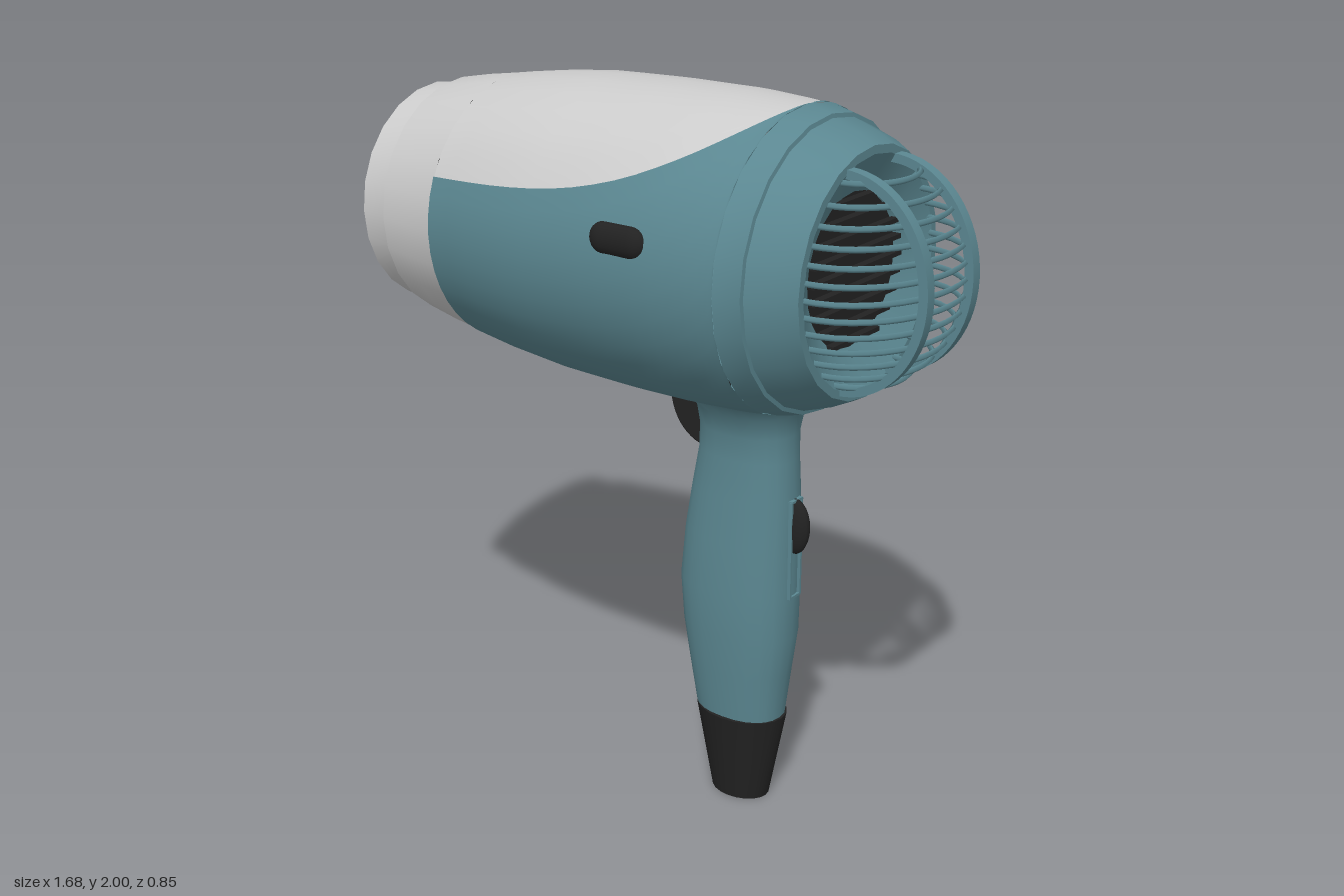
import * as THREE from 'three';
import { mergeVertices, toCreasedNormals } from 'three/addons/utils/BufferGeometryUtils.js';
import { ParametricGeometry } from 'three/addons/geometries/ParametricGeometry.js';

const AXIS = 1.588; // height of the barrel axis
const paint = (color, side = THREE.DoubleSide) => new THREE.MeshStandardMaterial({ color, side });

// Barrel radius along x
const PROFILE = [[-0.54, 0.37], [-0.4, 0.39], [-0.24, 0.405], [0, 0.412], [0.2, 0.412], [0.32, 0.405], [0.41, 0.397]];
function radiusAt(x) {
  let i = 0;
  while (i < PROFILE.length - 2 && x > PROFILE[i + 1][0]) i++;
  const [[x0, r0], [x1, r1]] = [PROFILE[i], PROFILE[i + 1]];
  return r0 + (r1 - r0) * (x - x0) / (x1 - x0);
}

// Smooth surface from a rule f(u, v, target), with shared seam vertices
function surface(f, nu, nv) {
  const g = new ParametricGeometry(f, nu, nv);
  g.deleteAttribute('uv');
  g.deleteAttribute('normal');
  const m = mergeVertices(g, 1e-5);
  m.computeVertexNormals();
  return m;
}

// Surface of revolution around the barrel axis, points as [x, radius]
function turned(points) {
  const g = new THREE.LatheGeometry(points.map(([x, r]) => new THREE.Vector2(r, x)), 24);
  g.rotateZ(-Math.PI / 2).translate(0, AXIS, 0);
  return toCreasedNormals(g, 0.5);
}

export function createModel() {
  const root = new THREE.Group();
  const grey = paint(0xcccccc), teal = paint(0x5b8791), dark = paint(0x222222), violet = paint(0x75699a);
  const add = (name, geometry, material, parent = root) => {
    const m = new THREE.Mesh(geometry, material);
    m.name = name;
    parent.add(m);
    return m;
  };
  const group = (name) => {
    const g = new THREE.Group();
    g.name = name;
    root.add(g);
    return g;
  };

  // Barrel: grey top shell meets the teal lower shell along a curved line
  const onBarrel = (x, t, lift, p) => {
    const r = radiusAt(x) + lift;
    p.set(x, AXIS + r * Math.cos(t), r * Math.sin(t));
  };
  const stationX = (v) => -0.54 + 0.95 * Math.sin(v * Math.PI / 2);
  const splitAngle = (x) => Math.max(0.01, 1.17 * Math.sqrt(Math.max(0, 1 - ((x + 0.54) / 0.95) ** 3)));
  add('topShell', surface((u, v, p) => {
    const x = stationX(v), a = splitAngle(x);
    onBarrel(x, -a + 2 * a * u, 0, p);
  }, 12, 20), grey);
  add('lowerShell', surface((u, v, p) => {
    const x = stationX(v), a = splitAngle(x);
    onBarrel(x, a + (2 * Math.PI - 2 * a) * u, 0.003, p);
  }, 28, 20), teal);
  add('sidePanel', surface((u, v, p) => onBarrel(-0.535 + 0.375 * v, -1.95 + 0.46 * u, 0.007, p), 6, 6), violet);

  // Nozzle with its rim, and the rear collar with its funnel
  add('nozzle', turned([[-0.78, 0.28], [-0.845, 0.29], [-0.845, 0.31], [-0.745, 0.317],
    [-0.745, 0.335], [-0.64, 0.355], [-0.54, 0.37]]), grey);
  add('rearCollar', turned([[0.41, 0.4], [0.48, 0.383], [0.482, 0.372], [0.56, 0.346], [0.605, 0.322],
    [0.605, 0.3], [0.55, 0.2]]), teal);

  // Dark louvres at the outlet and at the intake
  for (const [name, x, r, dir] of [['outlet', -0.79, 0.285, -1], ['intake', 0.545, 0.21, 1]]) {
    const g = group(name + 'Louvres');
    add(name + 'Back', new THREE.CylinderGeometry(r, r, 0.01, 24).rotateZ(Math.PI / 2).translate(x, AXIS, 0), dark, g);
    for (let y = -r + 0.035; y < r - 0.02; y += 0.045) {
      const w = 2 * Math.sqrt(r * r - y * y) - 0.015;
      add(name + 'Slat', new THREE.BoxGeometry(0.025, 0.012, w).translate(x + dir * 0.015, AXIS + y, 0), dark, g);
    }
  }

  // Domed rear grille: level hoops and two upright ribs
  const grille = group('rearGrille');
  for (let i = -6; i <= 6; i++) {
    const y = i * 0.0425, k = Math.sqrt(1 - (y / 0.29) ** 2);
    const pts = [];
    for (let j = 0; j <= 12; j++) {
      const t = (j / 12 - 0.5) * Math.PI;
      pts.push(new THREE.Vector3(0.595 + 0.235 * k * Math.cos(t), AXIS + y, 0.295 * k * Math.sin(t)));
    }
    add('grilleHoop', new THREE.TubeGeometry(new THREE.CatmullRomCurve3(pts), 20, 0.008, 4), teal, grille);
  }
  const rib = new THREE.Shape();
  rib.absellipse(0.595, AXIS, 0.245, 0.285, -Math.PI / 2, Math.PI / 2, false);
  rib.absellipse(0.595, AXIS, 0.22, 0.262, Math.PI / 2, -Math.PI / 2, true);
  for (const z of [-0.11, 0.11]) {
    const g = new THREE.ExtrudeGeometry(rib, { depth: 0.032, bevelEnabled: false, curveSegments: 16 });
    add('grilleRib', toCreasedNormals(g.translate(0, 0, z - 0.016), 0.5), teal, grille);
  }

  // Oval buttons on both sides
  for (const s of [-1, 1]) {
    const b = add('sideButton', new THREE.CapsuleGeometry(0.042, 0.085, 6, 16).rotateZ(Math.PI / 2), dark);
    b.scale.z = 0.62;
    b.position.set(0.125, 1.68, s * 0.397);
  }

  // Handle: rounded sections as [y, xMin, xMax, half depth]
  const sections = [[0.24, 0.107, 0.363, 0.09], [0.4, 0.08, 0.383, 0.105], [0.52, 0.06, 0.4, 0.114],
    [0.65, 0.05, 0.402, 0.118], [0.8, 0.064, 0.402, 0.112], [0.93, 0.085, 0.4, 0.104], [1.04, 0.107, 0.393, 0.1],
    [1.11, 0.11, 0.391, 0.103], [1.17, 0.105, 0.4, 0.122], [1.21, 0.08, 0.43, 0.155], [1.25, 0.05, 0.47, 0.19]];
  const last = sections.length - 1;
  const round = (c) => Math.sign(c) * Math.abs(c) ** 0.88;
  add('handle', surface((u, v, p) => {
    const [y, x0, x1, d] = sections[Math.min(last, Math.round(v * last))];
    const t = -u * 2 * Math.PI;
    p.set((x0 + x1) / 2 + (x1 - x0) / 2 * round(Math.cos(t)), y, d * round(Math.sin(t)));
  }, 24, last), teal);
  const cap = add('handleCap', toCreasedNormals(new THREE.CylinderGeometry(0.137, 0.087, 0.265, 20), 0.6), dark);
  cap.scale.z = 0.75;
  cap.position.set(0.237, 0.1325, 0);

  // Trigger under the barrel
  const t = new THREE.Shape();
  t.moveTo(0.02, 1.2);
  t.bezierCurveTo(0.015, 1.12, 0.05, 1.06, 0.115, 1.04);
  t.lineTo(0.16, 1.2);
  const trigger = new THREE.ExtrudeGeometry(t, { depth: 0.06, bevelSize: 0.006, bevelThickness: 0.01, bevelSegments: 2 });
  add('trigger', toCreasedNormals(trigger.translate(0, 0, -0.03), 0.5), dark);

  // Sliding switch in its framed slot
  const slot = group('switchSlot');
  for (const s of [-1, 1]) {
    add('slotSide', new THREE.BoxGeometry(0.02, 0.28, 0.007).translate(0.398, 0.79, s * 0.023), teal, slot);
    add('slotEnd', new THREE.BoxGeometry(0.02, 0.007, 0.05).translate(0.398, 0.79 + s * 0.14, 0), teal, slot);
  }
  const knob = add('switchKnob', new THREE.SphereGeometry(1, 16, 12), dark);
  knob.scale.set(0.047, 0.08, 0.025);
  knob.position.set(0.4, 0.855, 0);
  return root;
}
